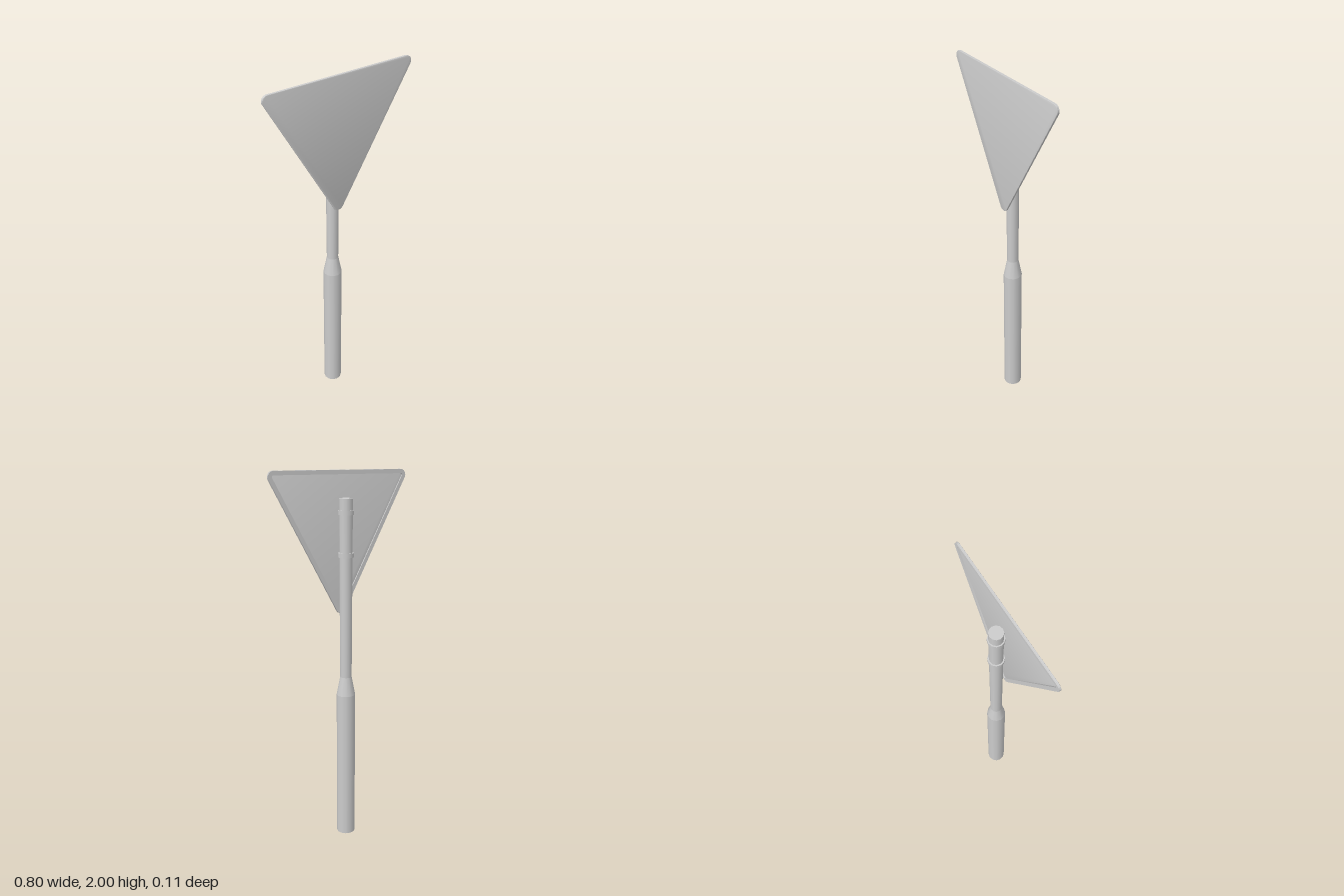
import * as THREE from 'three';
import { toCreasedNormals } from 'three/addons/utils/BufferGeometryUtils.js';

const SIDES = 12;
const POLE_X = -0.006, POLE_Z = -0.005;
// Centres of the sign's rounded corners, counter-clockwise from the lower tip
const CORNERS = [[-0.006, 1.29], [0.37, 1.971], [-0.37, 1.963]];

// Triangle outline whose corners are arcs of the given radius
function outline(radius, PathType = THREE.Shape) {
  const path = new PathType();
  const normalAngle = (a, b) => Math.atan2(b[1] - a[1], b[0] - a[0]) - Math.PI / 2;
  CORNERS.forEach((c, i) => {
    const start = normalAngle(CORNERS[(i + 2) % 3], c);
    const end = normalAngle(c, CORNERS[(i + 1) % 3]);
    path.absarc(c[0], c[1], radius, start, end, false);
  });
  path.closePath();
  return path;
}

export function createModel() {
  const model = new THREE.Group();
  model.name = 'roadSign';
  const material = new THREE.MeshStandardMaterial({ color: 0xcccccc });

  const add = (name, geometry, x = 0, y = 0, z = 0) => {
    const mesh = new THREE.Mesh(geometry, material);
    mesh.name = name;
    mesh.position.set(x, y, z);
    model.add(mesh);
  };
  const addTube = (name, y0, y1, r0, r1) =>
    add(name, new THREE.CylinderGeometry(r1, r0, y1 - y0, SIDES), POLE_X, (y0 + y1) / 2, POLE_Z);

  // Post: thick base, tapered shoulder, slim upper pole
  addTube('basePost', 0, 0.82, 0.05, 0.05);
  addTube('shoulder', 0.82, 0.92, 0.05, 0.031);
  addTube('upperPole', 0.92, 1.86, 0.031, 0.035);

  // Clamp bands around the pole
  for (const y of [1.575, 1.79]) addTube('clampBand', y - 0.011, y + 0.011, 0.041, 0.041);

  // Sign face with a softened edge
  const face = new THREE.ExtrudeGeometry(outline(0.028), {
    depth: 0.002, curveSegments: 6,
    bevelEnabled: true, bevelSize: 0.002, bevelThickness: 0.002, bevelSegments: 2,
  });
  add('signFace', toCreasedNormals(face, 0.6), 0, 0, 0.05);

  // Raised rim around the back of the sign
  const rimShape = outline(0.029);
  rimShape.holes.push(outline(0.008, THREE.Path));
  const rim = new THREE.ExtrudeGeometry(rimShape, { depth: 0.007, curveSegments: 6, bevelEnabled: false });
  add('backRim', toCreasedNormals(rim, 0.6), 0, 0, 0.042);

  return model;
}
